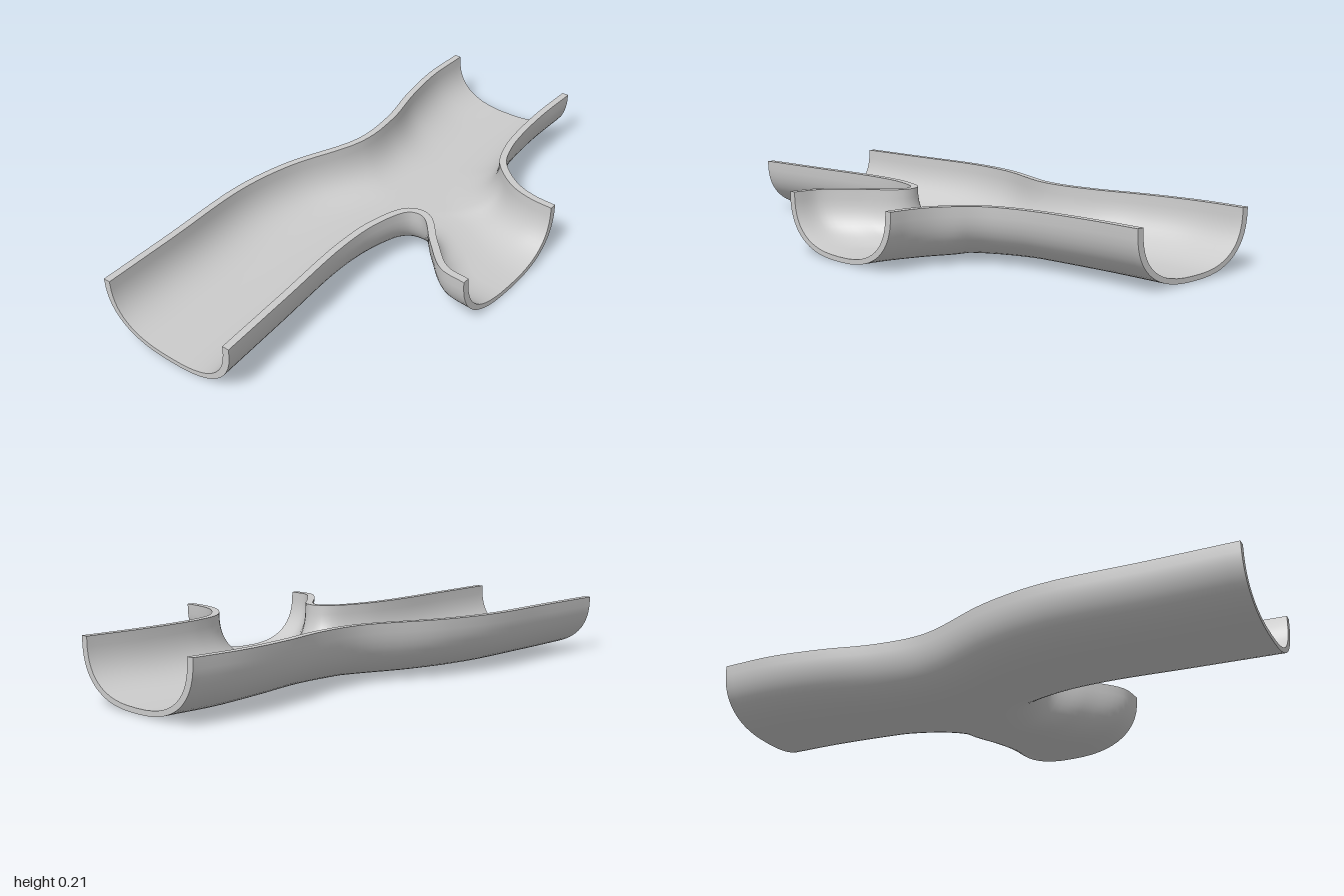
import * as THREE from 'three';
import { mergeGeometries, mergeVertices } from 'three/addons/utils/BufferGeometryUtils.js';

const RIM = 0.213;          // height of the rim
const HALF = 0.2875;        // width of one curved wall, rim to floor
const STEPS = 6, SIDES = 14;
const material = new THREE.MeshStandardMaterial({ color: 0xcccccc });

// smooth curve through [x, z, y] points, sampled evenly between them
const curve = (pts) => new THREE.CatmullRomCurve3(pts.map(([x, z, y = 0]) => new THREE.Vector3(x, y, z)))
  .getPoints((pts.length - 1) * STEPS);

// rows of points to a surface facing (across x along)
function grid(rows, flip = false) {
  const w = rows[0].length, index = [];
  for (let i = 0; i < rows.length - 1; i++) {
    for (let j = 0; j < w - 1; j++) {
      const a = i * w + j, b = a + 1, c = a + w, d = c + 1;
      index.push(...(flip ? [a, c, b, b, c, d] : [a, b, c, b, d, c]));
    }
  }
  const g = new THREE.BufferGeometry().setFromPoints(rows.flat());
  g.setIndex(index);
  g.computeVertexNormals();
  return g;
}

// join surfaces and smooth across their seams
function weld(list) {
  list.forEach((g) => g.deleteAttribute('normal'));
  const g = mergeVertices(mergeGeometries(list), 1e-5);
  g.computeVertexNormals();
  return g;
}

// outside skin: a quarter-round wall from the floor centreline out to the rim
function outerRows(spine, rim) {
  return spine.map((s, i) => {
    const dir = new THREE.Vector3(rim[i].x - s.x, 0, rim[i].z - s.z);
    const len = dir.length(), w = Math.min(HALF, len);
    dir.normalize();
    return Array.from({ length: SIDES + 1 }, (_, j) => {
      const a = (j / SIDES) * Math.PI / 2;
      const d = j === 0 ? 0 : len - w + w * Math.sin(a) ** 0.8;
      const up = j === SIDES ? 1 : 1 - Math.cos(a) ** 0.8;
      return new THREE.Vector3(s.x + dir.x * d, s.y + (RIM - s.y) * up, s.z + dir.z * d);
    });
  });
}

// inside skin: the outside moved inward, with flat rim and flat ends
function innerRows(rows) {
  const normals = grid(rows).getAttribute('normal');
  return rows.map((row, i) => row.map((p, j) => {
    const n = new THREE.Vector3().fromBufferAttribute(normals, i * row.length + j);
    if (j === 0) n.set(0, 1, 0);
    if (j === SIDES) n.y = 0;
    if (Math.abs(p.z) > 0.999) n.z = 0;
    if (p.x > 0.494) n.x = 0;
    n.normalize();
    return new THREE.Vector3(p.x + n.x * 0.027, p.y + n.y * 0.018, p.z + n.z * 0.027);
  }));
}

export function createModel() {
  const group = new THREE.Group();
  const add = (name, geometry) => {
    const mesh = new THREE.Mesh(geometry, material);
    mesh.name = name;
    group.add(mesh);
  };

  // floor centrelines, each running from the junction to an open end
  const joint = [-0.12, -0.15, 0.008];
  const back = curve([joint, [-0.12, -0.4, 0.007], [-0.142, -0.6, 0.005], [-0.165, -0.8, 0.003], [-0.172, -1, 0.003]]);
  const front = curve([joint, [-0.19, 0.1, 0.007], [-0.218, 0.35, 0.005], [-0.2, 0.68, 0.003], [-0.172, 1, 0.003]]);
  const branch = curve([joint, [0.1, -0.17, 0.01], [0.24, -0.11, 0.008], [0.37, -0.04, 0.003], [0.495, 0, 0]]);
  const through = (from, to) => [...from.slice().reverse(), ...to.slice(1)];

  // three walls: the spine they rise from and the outer edge of their rim
  const walls = [
    ['rightWall', through(back, front), [
      [-0.46, -1], [-0.455, -0.8], [-0.42, -0.6], [-0.368, -0.4], [-0.357, -0.2],
      [-0.46, 0.1], [-0.495, 0.33], [-0.475, 0.7], [-0.46, 1]]],
    ['frontBranchWall', through(front, branch), [
      [0.115, 1], [0.085, 0.7], [0.052, 0.37], [0.06, 0.2], [0.105, 0.075],
      [0.16, 0.065], [0.27, 0.17], [0.39, 0.27], [0.495, 0.285]]],
    ['backBranchWall', through(branch, back), [
      [0.495, -0.285], [0.41, -0.29], [0.33, -0.312], [0.26, -0.355], [0.195, -0.42],
      [0.155, -0.52], [0.135, -0.62], [0.118, -0.8], [0.115, -1]]],
  ];

  const inside = [], outside = [];
  for (const [name, spine, rim] of walls) {
    const outer = outerRows(spine, curve(rim));
    const inner = innerRows(outer);
    inside.push(grid(inner));
    outside.push(grid(outer, true));

    // flat rim and the cut faces at both ends of the wall
    const last = outer.length - 1;
    add(name + 'Rim', grid(outer.map((row, i) => [inner[i][SIDES], row[SIDES]])));
    add(name + 'StartEdge', grid(outer[0].map((p, j) => [inner[0][j], p])));
    add(name + 'FinishEdge', grid(outer[last].map((p, j) => [p, inner[last][j]])));
  }
  add('channelInside', weld(inside));
  add('channelOutside', weld(outside));
  return group;
}
